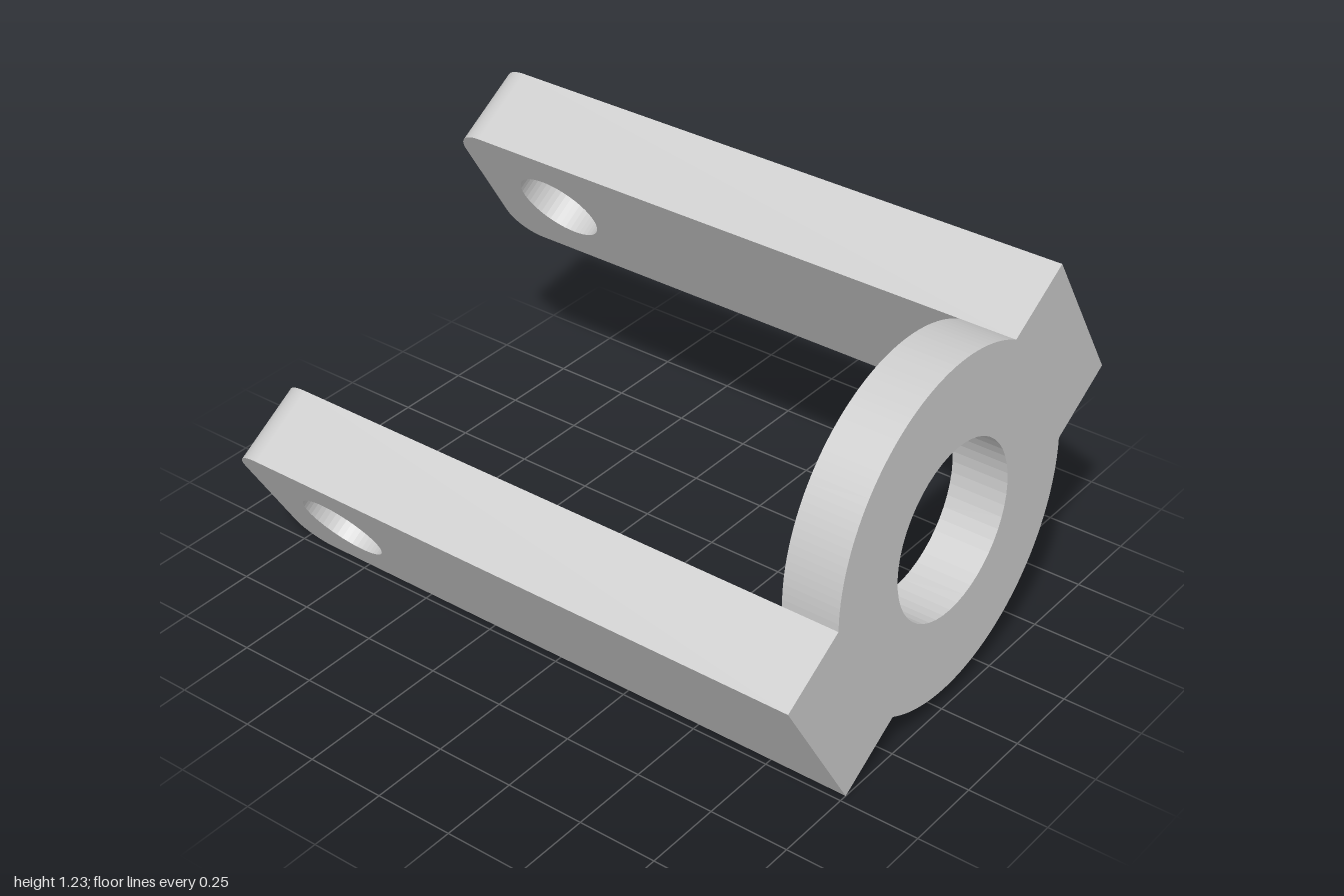
import * as THREE from 'three';

const TILT = THREE.MathUtils.degToRad(31.8);
const HALF = 0.272;    // half the arm width
const INNER = 0.472;   // centre to inner arm face
const OUTER = 0.728;   // centre to outer arm face
const RADIUS = Math.hypot(INNER, HALF);

const material = new THREE.MeshStandardMaterial({ color: 0xcccccc });

function addHole(shape, x, y, r) {
  const hole = new THREE.Path();
  hole.absarc(x, y, r, 0, Math.PI * 2, true);
  shape.holes.push(hole);
}

// Ring plate, flattened where the arms join it
function ringGeometry() {
  const a = Math.atan2(HALF, INNER);
  const shape = new THREE.Shape();
  shape.absarc(0, 0, RADIUS, a, Math.PI - a, false);
  shape.absarc(0, 0, RADIUS, Math.PI + a, Math.PI * 2 - a, false);
  shape.closePath();
  addHole(shape, 0, 0, 0.272);
  return new THREE.ExtrudeGeometry(shape, { depth: 0.18, bevelEnabled: false, curveSegments: 24 })
    .translate(0, 0, 0.82);
}

// Long arm: square at the front, rounded at the back, with a cross hole
function armGeometry() {
  const r = 0.1;
  const shape = new THREE.Shape();
  shape.moveTo(1, -HALF);
  shape.lineTo(1, HALF);
  shape.lineTo(-1 + r, HALF);
  shape.absarc(-1 + r, HALF - r, r, Math.PI / 2, Math.PI, false);
  shape.absarc(-1 + r, -HALF + r, r, Math.PI, Math.PI * 1.5, false);
  shape.closePath();
  addHole(shape, -0.71, 0, 0.138);
  // profile runs along z, thickness along x, centred on x
  return new THREE.ExtrudeGeometry(shape, { depth: OUTER - INNER, bevelEnabled: false, curveSegments: 24 })
    .rotateY(-Math.PI / 2)
    .translate((OUTER - INNER) / 2, 0, 0);
}

export function createModel() {
  const model = new THREE.Group();
  model.name = 'yoke';

  const body = new THREE.Group();
  body.name = 'tiltedBody';
  body.position.y = 0.615;
  body.rotation.z = TILT;
  model.add(body);

  const ring = new THREE.Mesh(ringGeometry(), material);
  ring.name = 'ringPlate';
  body.add(ring);

  const armShape = armGeometry();
  for (const [name, side] of [['leftArm', 1], ['rightArm', -1]]) {
    const arm = new THREE.Mesh(armShape, material);
    arm.name = name;
    arm.position.x = side * (INNER + OUTER) / 2;
    body.add(arm);
  }
  return model;
}
